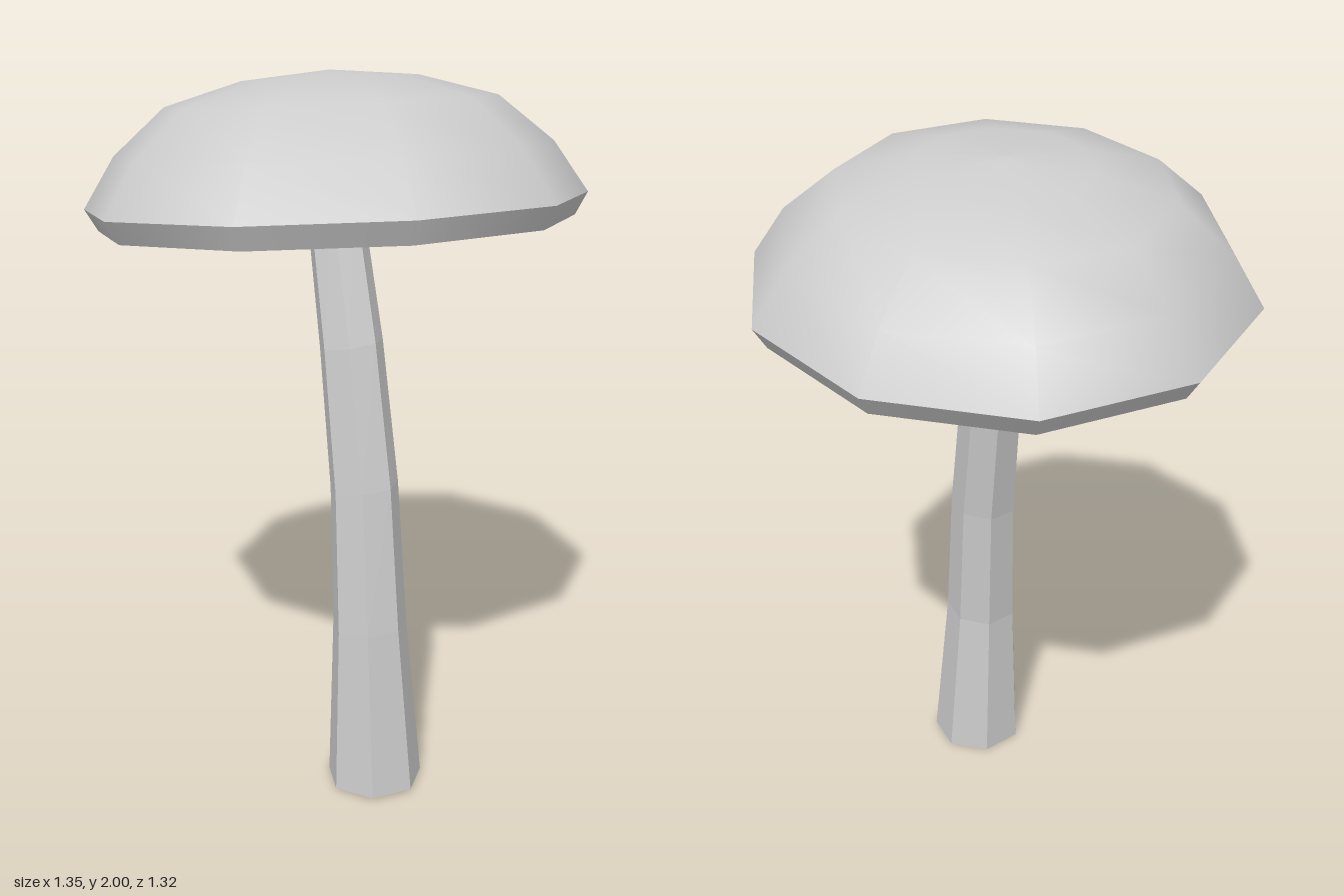
import * as THREE from 'three';

const pale = new THREE.MeshStandardMaterial({ color: 0xcccccc, side: THREE.DoubleSide });
pale.name = 'pale grey';

const SIDES = 7;

// Stem cross-sections: [centre x, y, centre z, radius, slope of the ring along x]
const RINGS = [
  [0.225, 0.005, 0.075, 0.137, 0.03],
  [0.205, 0.49, 0.08, 0.106, 0.1],
  [0.165, 0.89, 0.061, 0.096, 0.15],
  [0.097, 1.28, 0.04, 0.088, 0.2],
  [-0.005, 1.69, 0.003, 0.076, 0.25],
];

// Open seven-sided tube that bends and narrows towards the top
function stemGeometry() {
  const points = [];
  const index = [];
  RINGS.forEach(([cx, cy, cz, r, slope], k) => {
    for (let i = 0; i < SIDES; i++) {
      const a = (i / SIDES) * Math.PI * 2;
      const dx = r * Math.cos(a);
      points.push(cx + dx, Math.max(0, cy + slope * dx), cz + r * Math.sin(a));
      if (k === 0) continue;
      const j = (i + 1) % SIDES;
      const low = (k - 1) * SIDES;
      const top = k * SIDES;
      index.push(low + i, top + i, low + j, low + j, top + i, top + j);
    }
  });
  const geometry = new THREE.BufferGeometry();
  geometry.setAttribute('position', new THREE.Float32BufferAttribute(points, 3));
  geometry.setIndex(index);
  const flat = geometry.toNonIndexed();
  flat.computeVertexNormals();
  return flat;
}

// Ten-sided surface of revolution, smooth along its profile
function capPart(name, profile) {
  const geometry = new THREE.LatheGeometry(
    profile.map(([r, y]) => new THREE.Vector2(r, y)), 10, THREE.MathUtils.degToRad(22));
  const mesh = new THREE.Mesh(geometry, pale);
  mesh.name = name;
  return mesh;
}

export function createModel() {
  const model = new THREE.Group();
  model.name = 'mushroom';

  const stem = new THREE.Mesh(stemGeometry(), pale);
  stem.name = 'stem';
  model.add(stem);

  // Tilted cap: separate surfaces keep the rim edges sharp
  const cap = new THREE.Group();
  cap.name = 'cap';
  cap.add(
    capPart('capDome', [[0.68, 0], [0.59, 0.138], [0.445, 0.262], [0.235, 0.322], [0, 0.343]]),
    capPart('capRim', [[0.645, -0.06], [0.68, 0]]),
    capPart('capUnderside', [[0.1, 0.005], [0.645, -0.06]]),
    capPart('stemSocket', [[0.07, 0.03], [0.1, 0.005]]),
  );
  cap.position.y = 1.655;
  cap.rotation.set(-0.05, 0, 0.096);
  model.add(cap);

  return model;
}
